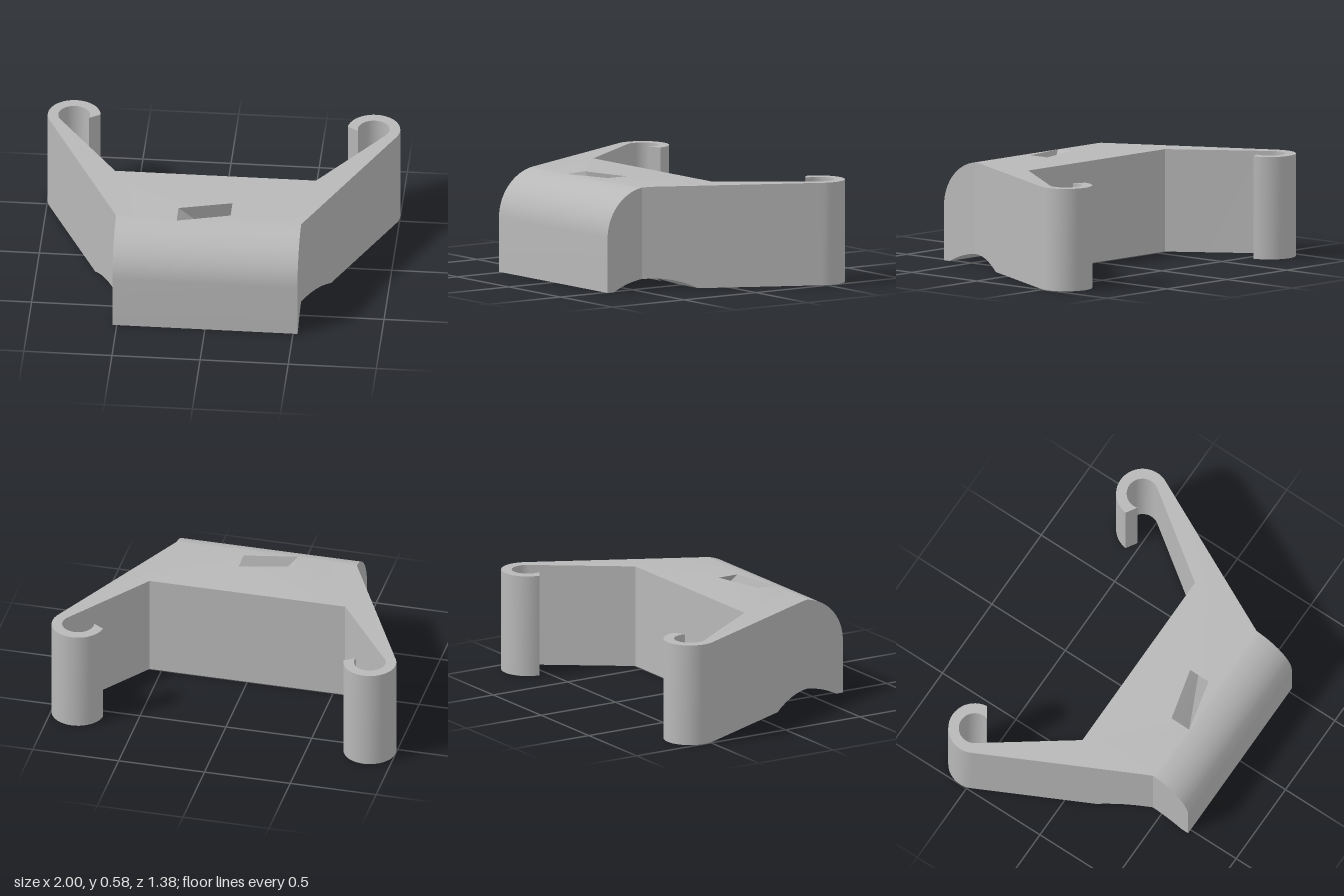
import * as THREE from 'three';
import { toCreasedNormals } from 'three/addons/utils/BufferGeometryUtils.js';

const H = 0.585, FRONT = 0.69, BEND = 0.45, HALF = 0.525;
const HOOK = [0.85, -0.545], R_OUT = 0.15, R_IN = 0.09;

// Top height: flat, then a rounded front edge
const topY = z => z <= 0.41 ? H : 0.31 + (H - 0.31) * Math.sqrt(Math.max(0, 1 - ((z - 0.41) / 0.28) ** 2));
// Bottom height: flat, with a shallow arched groove across the front
const botY = z => Math.max(0, -0.443 + Math.sqrt(0.505 ** 2 - Math.min(0.5, Math.abs(z - 0.4025)) ** 2));

const rad = THREE.MathUtils.degToRad;
const arc = (r, from, to, n) => Array.from({ length: n + 1 }, (_, i) => {
  const a = rad(from + (to - from) * i / n);
  return [HOOK[0] + r * Math.cos(a), HOOK[1] + r * Math.sin(a)];
});
const mirrored = pts => pts.map(([x, z]) => [-x, z]).reverse();

// Inner arm edge, around the inside of the hook and back around its outside
const arm = [[0.57, 0], ...arc(R_IN, 40, -195, 24), ...arc(R_OUT, -174, 30, 24)];
const shoulder = arm[arm.length - 1];

// Point on the outer side of the body at depth z
function side(z) {
  if (z >= BEND) return [HALF, z];
  const t = (z - BEND) / (shoulder[1] - BEND);
  return [HALF + (shoulder[0] - HALF) * t, z];
}

// Collects triangles and turns them into a mesh
function makeBuilder() {
  const pos = [];
  const tri = (a, b, c) => pos.push(...a, ...b, ...c);
  return {
    // Horizontal face over a plan polygon, with its height set by a rule
    cap(poly, holes, yAt, up) {
      const V = p => new THREE.Vector2(p[0], p[1]);
      const all = [poly, ...holes].flat();
      for (const f of THREE.ShapeUtils.triangulateShape(poly.map(V), holes.map(h => h.map(V)))) {
        const [a, b, c] = f.map(i => [all[i][0], yAt(all[i][1]), all[i][1]]);
        const ny = (b[2] - a[2]) * (c[0] - a[0]) - (b[0] - a[0]) * (c[2] - a[2]);
        if ((ny > 0) === up) tri(a, b, c); else tri(a, c, b);
      }
    },
    // Closed wall between a bottom loop and a top loop
    wall(bottom, top) {
      bottom.forEach((p, i) => {
        const j = (i + 1) % bottom.length, q = bottom[j];
        const a = [q[0], botY(q[1]), q[1]], b = [p[0], botY(p[1]), p[1]];
        const c = [top[i][0], topY(top[i][1]), top[i][1]], d = [top[j][0], topY(top[j][1]), top[j][1]];
        tri(a, b, c);
        tri(a, c, d);
      });
    },
    mesh(name, material) {
      const g = new THREE.BufferGeometry();
      g.setAttribute('position', new THREE.Float32BufferAttribute(pos, 3));
      const m = new THREE.Mesh(toCreasedNormals(g, 0.35), material);
      m.name = name;
      return m;
    },
  };
}

export function createModel() {
  const group = new THREE.Group();
  group.name = 'bracket';
  const grey = new THREE.MeshStandardMaterial({ color: 0xb8b8b8 });
  grey.name = 'grey plastic';

  // Depth stations for the curved front part
  const stations = [0.16, 0.2, 0.25, 0.3, 0.35, 0.4, BEND, 0.47, 0.645];
  for (let i = 0; i <= 14; i++) {
    const z = 0.41 + 0.28 * Math.sin(0.25 + (Math.PI / 2 - 0.25) * i / 14);
    stations.push(i === 14 ? FRONT : z);
  }
  stations.sort((a, b) => a - b);

  // Slanted slot, running from the top down to one side
  const slotTop = [[-0.18, 0.345], [0.12, 0.27], [0.12, 0.395], [-0.18, 0.465]];
  const slotBottom = slotTop.map(([x, z]) => [x + 0.5, z - 0.268]);
  const [s0, s1, s2, s3] = slotBottom;
  const cut = [s3[0] + (s2[0] - s3[0]) * (s3[1] - 0.16) / (s3[1] - s2[1]), 0.16];
  const cutStraight = [s3[0], 0.16];

  const body = makeBuilder();
  // Outer walls, with both arms and hooks
  const half = [...arm, ...stations.map(side)];
  const outline = [...half, ...mirrored(half)];
  body.wall(outline, outline);

  // Flat top with the slot opening
  const topHalf = [...arm, side(BEND), side(0.47)];
  body.cap([...topHalf, ...mirrored(topHalf)], [slotTop], topY, true);

  // Flat underside, notched where the slot comes out
  const lowHalf = [...arm, side(0.16)];
  body.cap([...lowHalf, cut, s2, s1, s0, cutStraight, ...mirrored(lowHalf)], [], botY, false);
  const [w0, w1] = [side(0.16), side(0.2)];
  body.cap([w0, w1, ...mirrored([w0, w1]), cutStraight, s3, cut], [], botY, false);

  // Curved front edge and arched underside
  for (let i = 1; i < stations.length - 1; i++) {
    const strip = [side(stations[i]), side(stations[i + 1])];
    const quad = [...strip, ...mirrored(strip)];
    body.cap(quad, [], botY, false);
    if (stations[i] >= 0.47) body.cap(quad, [], topY, true);
  }
  group.add(body.mesh('body', grey));

  // Inner walls of the slot
  const slot = makeBuilder();
  slot.wall([...slotBottom].reverse(), [...slotTop].reverse());
  group.add(slot.mesh('slotWalls', grey));

  return group;
}
